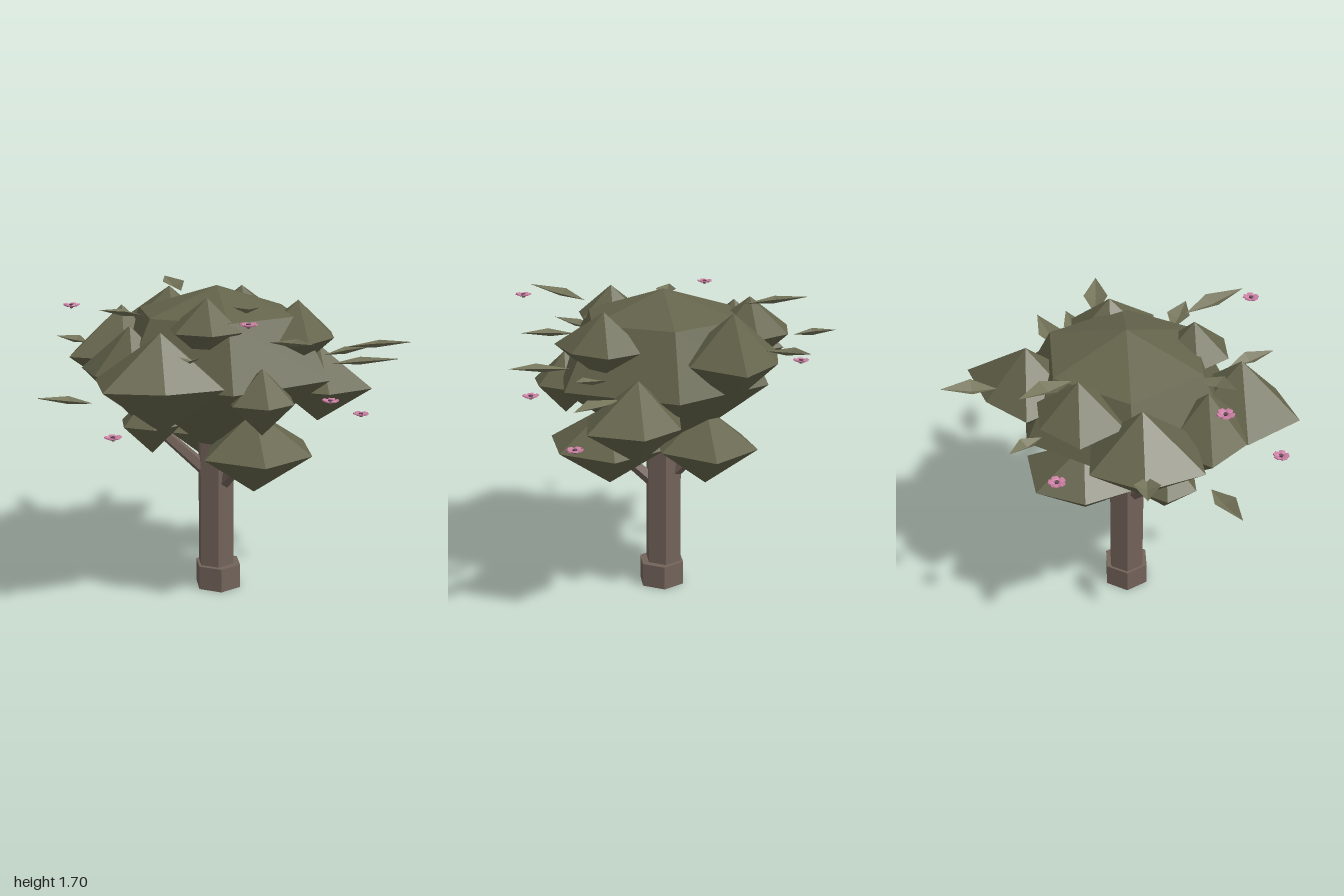
import * as THREE from 'three';

const V = (x, y, z) => new THREE.Vector3(x, y, z);
const paint = (color, side = THREE.FrontSide) =>
  new THREE.MeshStandardMaterial({ color, side, flatShading: true });

const bark = paint(0x73635a);
const foliage = paint(0x64644c);
const leafMat = paint(0x74745a, THREE.DoubleSide);
const petalMat = paint(0xcc80a4, THREE.DoubleSide);
const heartMat = paint(0x6b4a58);

// Half profiles from bottom to top: plain clump, and crown with a shoulder
const CLUMP = [[0, -1], [1, 0], [0, 1]];
const CROWN = [[0, -1], [1, 0], [0.72, 0.7], [0, 1]];

// Six-sided faceted clump; radii run from +x towards +z in 60 degree steps
function clump(name, [x, y, z], up, down, radii, profile = CLUMP) {
  const points = profile.map(([r, h]) => new THREE.Vector2(r, h * (h > 0 ? up : down)));
  const geo = new THREE.LatheGeometry(points, 6, Math.PI / 2);
  const p = geo.attributes.position;
  for (let i = 0; i < p.count; i++) {
    const k = (Math.round(Math.atan2(p.getZ(i), p.getX(i)) / (Math.PI / 3)) + 6) % 6;
    p.setXYZ(i, p.getX(i) * radii[k], p.getY(i), p.getZ(i) * radii[k]);
  }
  geo.computeVertexNormals();
  const mesh = new THREE.Mesh(geo, foliage);
  mesh.name = name;
  mesh.position.set(x, y, z);
  return mesh;
}

// Six-sided post standing on the ground
function post(name, x, radius, height) {
  const geo = new THREE.CylinderGeometry(radius, radius, height, 6).rotateY(Math.PI / 6);
  const mesh = new THREE.Mesh(geo, bark);
  mesh.name = name;
  mesh.position.set(x, height / 2, 0.035);
  return mesh;
}

// Straight limb between two points
function branch(from, to) {
  const dir = to.clone().sub(from);
  const mesh = new THREE.Mesh(new THREE.CylinderGeometry(0.03, 0.04, dir.length(), 5), bark);
  mesh.name = 'branch';
  mesh.position.copy(from).addScaledVector(dir, 0.5);
  mesh.quaternion.setFromUnitVectors(V(0, 1, 0), dir.normalize());
  return mesh;
}

// Kite-shaped leaf folded along its midrib
function leaf(base, tip, width) {
  const dir = tip.clone().sub(base);
  const side = V(-dir.z, 0, dir.x).normalize().multiplyScalar(width / 2);
  const mid = base.clone().addScaledVector(dir, 0.45);
  const left = mid.clone().sub(side).add(V(0, 0.015, 0));
  const right = mid.clone().add(side).add(V(0, 0.015, 0));
  mid.y -= 0.015;
  const geo = new THREE.BufferGeometry().setFromPoints(
    [base, mid, left, left, mid, tip, base, right, mid, mid, right, tip]);
  geo.computeVertexNormals();
  const mesh = new THREE.Mesh(geo, leafMat);
  mesh.name = 'leaf';
  return mesh;
}

// Five-petalled blossom with a small heart
function flower(x, y, z, turn) {
  const group = new THREE.Group();
  group.name = 'flower';
  for (let i = 0; i < 5; i++) {
    const petal = new THREE.Mesh(new THREE.SphereGeometry(1, 5, 3), petalMat);
    petal.name = 'petal';
    const a = turn + i * Math.PI * 0.4;
    petal.scale.set(0.025, 0.006, 0.027);
    petal.position.set(Math.cos(a) * 0.025, 0.004, Math.sin(a) * 0.025);
    petal.rotation.set(0, -a, 0.3);
    group.add(petal);
  }
  const heart = new THREE.Mesh(new THREE.CylinderGeometry(0.013, 0.008, 0.022, 5), heartMat);
  heart.name = 'flowerHeart';
  group.add(heart);
  group.position.set(x, y, z);
  return group;
}

export function createModel() {
  const tree = new THREE.Group();
  tree.name = 'tree';

  // Trunk, foot and limbs
  tree.add(post('trunk', -0.04, 0.105, 0.9), post('trunkFoot', -0.027, 0.134, 0.135));
  tree.add(
    branch(V(-0.02, 0.58, 0.05), V(0.235, 0.85, 0.167)),
    branch(V(-0.06, 0.65, 0), V(-0.16, 0.87, -0.2)),
    branch(V(-0.08, 0.67, 0.06), V(-0.34, 0.96, 0.22)));

  // Main crown and the clumps around it
  tree.add(
    clump('crown', [-0.035, 1.23, 0.03], 0.47, 0.47, [0.64, 0.62, 0.6, 0.64, 0.6, 0.63], CROWN),
    clump('frontClump', [-0.09, 1.27, 0.62], 0.26, 0.25, [0.34, 0.25, 0.34, 0.37, 0.33, 0.32]),
    clump('backClump', [-0.09, 1.4, -0.48], 0.24, 0.23, [0.28, 0.28, 0.28, 0.31, 0.24, 0.37]),
    clump('lowFrontClump', [0.235, 0.85, 0.167], 0.22, 0.23, [0.325, 0.36, 0.33, 0.25, 0.33, 0.35]),
    clump('lowBackClump', [-0.15, 0.87, -0.2], 0.2, 0.23, [0.3, 0.3, 0.3, 0.26, 0.3, 0.36]),
    clump('lowRightClump', [-0.34, 0.96, 0.22], 0.18, 0.17, [0.17, 0.18, 0.18, 0.18, 0.17, 0.17]),
    clump('rightClump', [-0.58, 1.32, 0.08], 0.255, 0.25, [0.28, 0.31, 0.34, 0.28, 0.3, 0.28]),
    clump('leftBackClump', [0.42, 1.12, -0.36], 0.225, 0.21, [0.31, 0.28, 0.28, 0.26, 0.23, 0.28]),
    clump('leftFrontClump', [0.365, 1.175, 0.4], 0.17, 0.175, [0.17, 0.19, 0.19, 0.19, 0.19, 0.19]),
    clump('leftUpperClump', [0.4, 1.445, -0.04], 0.19, 0.18, [0.2, 0.29, 0.28, 0.24, 0.24, 0.24]),
    clump('topFrontClump', [0.06, 1.515, 0.385], 0.165, 0.16, [0.19, 0.2, 0.2, 0.22, 0.2, 0.18]),
    clump('rightFrontClump', [-0.36, 1.28, 0.42], 0.24, 0.24, [0.27, 0.25, 0.22, 0.29, 0.25, 0.26]),
    clump('rightBackClump', [-0.43, 1.46, -0.22], 0.19, 0.2, [0.2, 0.25, 0.25, 0.28, 0.22, 0.24]));

  // Leaves: base point, tip point, width
  const leaves = [
    [-0.18, 1.46, -0.63, -0.22, 1.49, -0.91, 0.14],
    [-0.59, 1.45, -0.4, -0.76, 1.48, -0.55, 0.09],
    [-0.37, 1.62, -0.25, -0.59, 1.67, -0.5, 0.13],
    [0.5, 1.25, -0.31, 0.86, 1.28, -0.45, 0.14],
    [0.65, 1.39, -0.11, 1.0, 1.44, -0.1, 0.14],
    [0.5, 1.32, -0.2, 0.74, 1.37, -0.28, 0.12],
    [-0.79, 1.35, 0.09, -1.0, 1.375, 0.08, 0.13],
    [-0.58, 1.09, 0.43, -0.86, 1.12, 0.55, 0.12],
    [0.36, 1.46, 0.3, 0.63, 1.48, 0.4, 0.13],
    [0.25, 1.62, 0.36, 0.4, 1.68, 0.68, 0.13],
    [0.06, 1.4, 0.58, 0.15, 1.44, 0.83, 0.11],
    [-0.3, 1.57, 0.38, -0.47, 1.61, 0.54, 0.12],
  ];
  for (const [bx, by, bz, tx, ty, tz, w] of leaves) tree.add(leaf(V(bx, by, bz), V(tx, ty, tz), w));

  // Blossoms
  const flowers = [
    [0.415, 1.61, 0.73], [-0.675, 1.61, 0.46], [0.71, 1.0, -0.22],
    [0.675, 1.17, 0.25], [-0.25, 1.03, 0.84], [-0.72, 1.27, -0.335],
  ];
  flowers.forEach(([x, y, z], i) => tree.add(flower(x, y, z, i * 0.7)));

  return tree;
}
